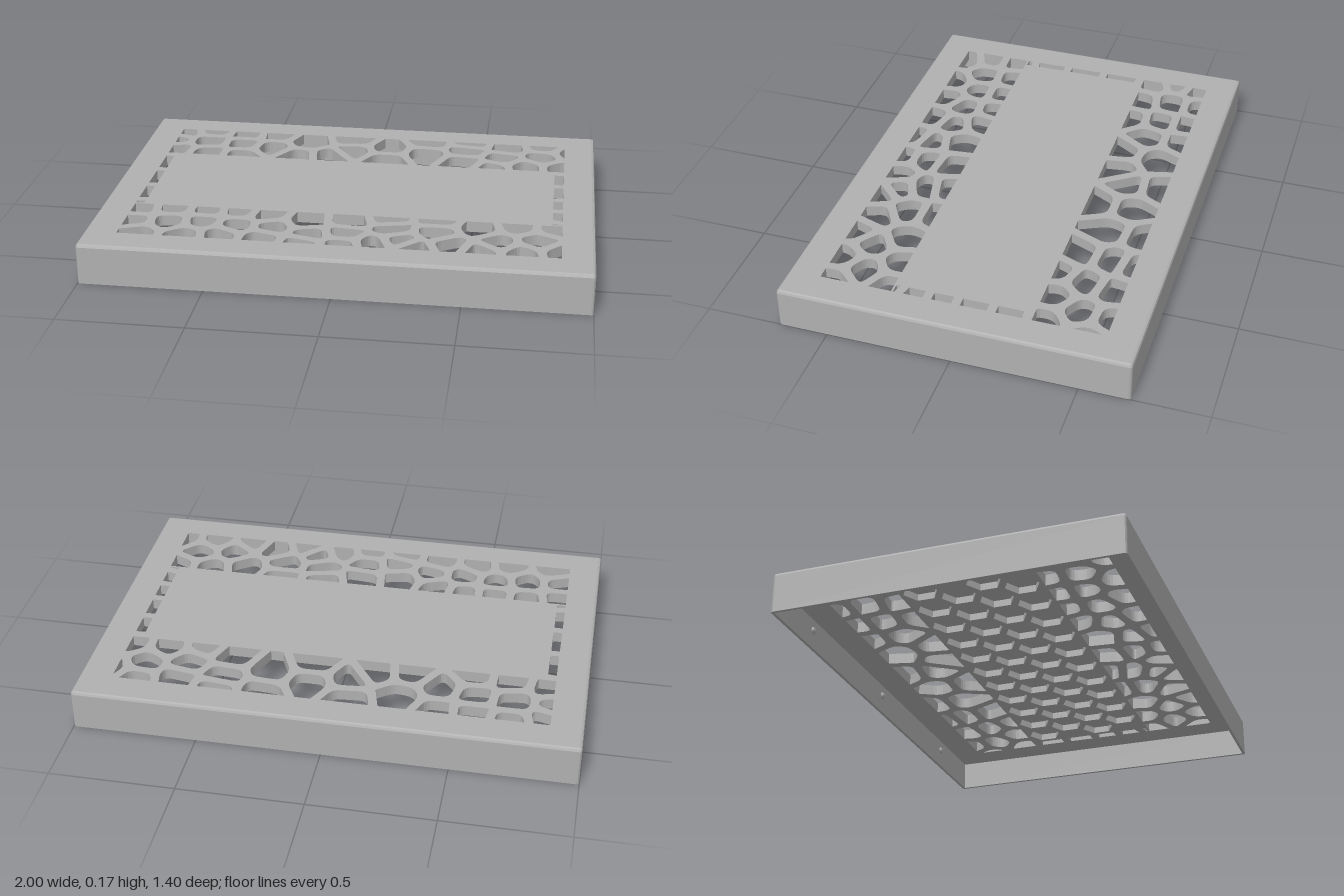
import * as THREE from 'three';

const W = 1, D = 0.7, H = 0.167, T = 0.012;      // half width, half depth, height, wall
const PLATE = 0.045, SKIN = 0.017;               // plate thickness, skin over the pockets

// Cell centres of the pierced pattern: x, z pairs
const BACK = [
  -0.85, -0.54, -0.72, -0.57, -0.56, -0.55, -0.43, -0.56, -0.27, -0.49, -0.07, -0.54, 0.09, -0.46,
  0.27, -0.56, 0.45, -0.56, 0.62, -0.53, 0.78, -0.56, -0.88, -0.44, -0.72, -0.44, -0.56, -0.43,
  -0.43, -0.4, -0.06, -0.41, 0.26, -0.41, 0.44, -0.48, 0.6, -0.41, 0.77, -0.44, -0.85, -0.33,
  -0.7, -0.31, -0.55, -0.3, -0.3, -0.32, -0.16, -0.34, 0.09, -0.33, 0.43, -0.34, 0.56, -0.29,
  0.7, -0.32, 0.86, -0.32, 0.9, -0.5,
];
const FRONT = [
  -0.84, 0.32, -0.7, 0.3, -0.56, 0.31, -0.43, 0.3, -0.31, 0.32, -0.15, 0.36, 0.03, 0.34, 0.18, 0.3,
  0.38, 0.28, 0.54, 0.34, 0.7, 0.3, 0.84, 0.3, -0.84, 0.44, -0.69, 0.43, -0.56, 0.41, -0.42, 0.43,
  -0.27, 0.43, -0.12, 0.48, 0.02, 0.45, 0.2, 0.39, 0.38, 0.4, 0.24, 0.49, 0.62, 0.46, 0.78, 0.43,
  -0.8, 0.55, -0.61, 0.55, -0.47, 0.53, -0.3, 0.54, -0.14, 0.56, 0.02, 0.56, 0.14, 0.53, 0.3, 0.55,
  0.44, 0.5, 0.56, 0.54, 0.72, 0.54, 0.87, 0.52,
];
const SIDES = [-0.87, -0.19, -0.87, 0.01, -0.87, 0.15, 0.87, -0.2, 0.87, -0.04, 0.87, 0.08, 0.87, 0.19];
// Open areas around the solid middle: x0, z0, x1, z1
const WINDOWS = [
  [-0.87, -0.57, 0.87, -0.28], [-0.87, 0.28, 0.87, 0.57],
  [-0.87, -0.272, -0.835, 0.272], [0.83, -0.272, 0.87, 0.272],
];

// Keep the part of a convex polygon where nx*x + ny*y <= d
function clip(poly, nx, ny, d) {
  const out = [];
  poly.forEach((a, i) => {
    const b = poly[(i + 1) % poly.length];
    const da = nx * a.x + ny * a.y - d, db = nx * b.x + ny * b.y - d;
    if (da <= 0) out.push(a);
    if (da * db < 0) out.push(a.clone().lerp(b, da / (da - db)));
  });
  return out;
}

// Round each corner with a short quadratic curve
function roundCorners(poly) {
  return poly.flatMap((p, i) => {
    const end = q => p.clone().lerp(q, Math.min(0.4, 0.03 / p.distanceTo(q)));
    const a = end(poly[(i + poly.length - 1) % poly.length]);
    const b = end(poly[(i + 1) % poly.length]);
    return new THREE.QuadraticBezierCurve(a, p, b).getPoints(4);
  });
}

function cellHoles() {
  const flat = [...BACK, ...FRONT, ...SIDES], seeds = [], holes = [];
  for (let i = 0; i < flat.length; i += 2) seeds.push(new THREE.Vector2(flat[i], flat[i + 1]));
  for (const s of seeds) {
    let cell = [[-1, -1], [1, -1], [1, 1], [-1, 1]].map(([x, y]) => new THREE.Vector2(x, y));
    for (const o of seeds) {
      if (o === s) continue;
      const n = o.clone().sub(s).normalize();
      cell = clip(cell, n.x, n.y, n.dot(s.clone().add(o).multiplyScalar(0.5)) - 0.0175);
    }
    if (cell.length < 3) continue;
    cell = roundCorners(cell);
    for (const [x0, z0, x1, z1] of WINDOWS) {
      let h = clip(clip(cell, 1, 0, x1), -1, 0, -x0);
      h = clip(clip(h, 0, 1, z1), 0, -1, -z0);
      if (h.length > 2 && Math.abs(THREE.ShapeUtils.area(h)) > 0.0003) holes.push(h);
    }
  }
  return holes;
}

// Honeycomb under the solid middle
function hexHoles() {
  const holes = [];
  for (let row = 0; row < 4; row++) {
    const count = row % 2 ? 10 : 11;
    for (let i = 0; i < count; i++) {
      const x = (i - (count - 1) / 2) * 0.15, z = (row - 1.5) * 0.13;
      holes.push([...Array(6)].map((_, k) => {
        const a = k * Math.PI / 3 + Math.PI / 6;
        return new THREE.Vector2(x + 0.07 * Math.cos(a), z + 0.07 * Math.sin(a));
      }));
    }
  }
  return holes;
}

// Horizontal pierced sheet hanging down from the given height
function sheet(holes, top, depth) {
  const x = W - T, z = D - T;
  const shape = new THREE.Shape([[-x, -z], [x, -z], [x, z], [-x, z]].map(p => new THREE.Vector2(...p)));
  shape.holes = holes.map(h => new THREE.Path(h));
  return new THREE.ExtrudeGeometry(shape, { depth, bevelEnabled: false })
    .rotateX(Math.PI / 2).translate(0, top, 0);
}

// Skirt wall: a cross-section carried round the rectangle, with softened outer edges
function skirtGeometry() {
  const profile = [[T, H - PLATE], [T, 0], [0, 0], [0, H - T], [0.0035, H - 0.0035], [T, H]];
  const pos = [], idx = [], N = 16;
  for (const [inset, y] of profile) {
    for (let c = 0; c < 4; c++) {
      const sx = c === 0 || c === 3 ? 1 : -1, sz = c < 2 ? 1 : -1;
      for (let k = 0; k < 4; k++) {
        const a = (c + k / 3) * Math.PI / 2, r = T - inset;
        pos.push(sx * (W - T) + r * Math.cos(a), y, sz * (D - T) + r * Math.sin(a));
      }
    }
  }
  for (let p = 0; p < profile.length - 1; p++) {
    for (let i = 0; i < N; i++) {
      const a = p * N + i, b = p * N + (i + 1) % N;
      idx.push(a, a + N, b, b, a + N, b + N);
    }
  }
  const g = new THREE.BufferGeometry();
  g.setAttribute('position', new THREE.Float32BufferAttribute(pos, 3));
  g.setIndex(idx);
  const flat = g.toNonIndexed();
  flat.computeVertexNormals();
  return flat;
}

export function createModel() {
  const grey = new THREE.MeshStandardMaterial({ color: 0xb0b0b0 });
  grey.name = 'grey';
  const group = new THREE.Group();
  group.name = 'ventedCover';
  const add = (name, geometry) => {
    const mesh = new THREE.Mesh(geometry, grey);
    mesh.name = name;
    group.add(mesh);
    return mesh;
  };

  const cells = cellHoles();
  add('skirt', skirtGeometry());
  add('topPlate', sheet(cells, H, SKIN));
  add('honeycombPlate', sheet([...cells, ...hexHoles()], H - SKIN, PLATE - SKIN));

  // Small snap bumps inside the long walls
  for (const side of [-1, 1]) {
    for (const x of [-0.67, 0, 0.67]) {
      const bump = add('snapBump', new THREE.SphereGeometry(0.015, 16, 10));
      bump.scale.z = 0.7;
      bump.position.set(x, 0.075, side * (D - T));
    }
  }
  return group;
}
